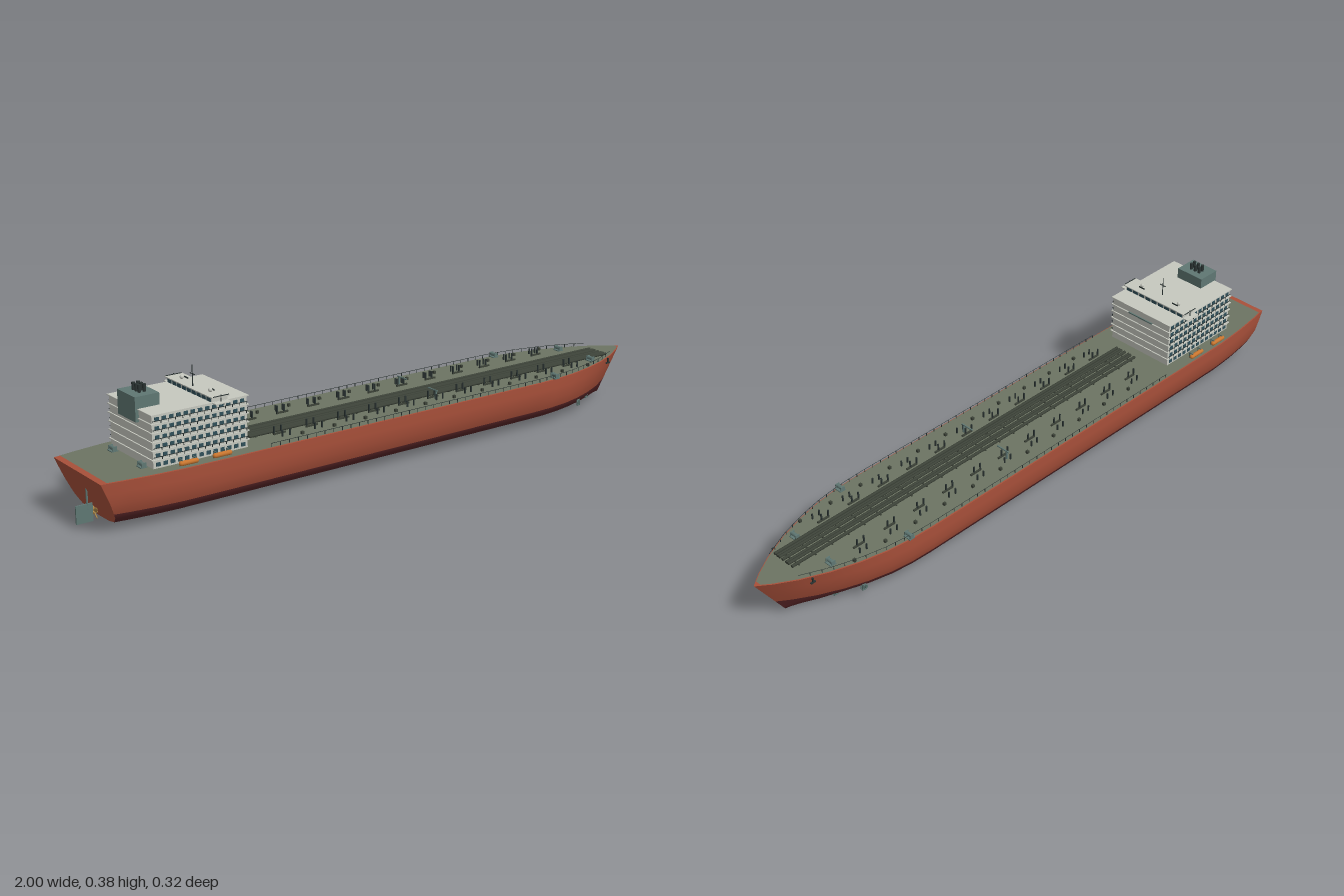
import * as THREE from 'three';
import { mergeGeometries } from 'three/addons/utils/BufferGeometryUtils.js';

const mat = (color, side = THREE.FrontSide) => new THREE.MeshStandardMaterial({ color, side });
const DECK = 0.15;

// Deck half-widths along the ship: [x, half width]
const STATIONS = [[-0.99, 0.132], [-0.93, 0.142], [-0.85, 0.152], [-0.75, 0.159], [-0.65, 0.16], [-0.2, 0.16],
  [0.2, 0.16], [0.5, 0.16], [0.58, 0.157], [0.66, 0.147], [0.74, 0.129], [0.82, 0.103], [0.9, 0.067],
  [0.96, 0.031], [1, 0.001]];
// Half section from deck edge to keel: [fraction of half width, y]
const SECTION = [[1, DECK], [0.998, 0.12], [0.985, 0.087], [0.91, 0.055], [0.86, 0.04], [0.675, 0.02],
  [0.38, 0.012], [0, 0.01]];

function halfWidth(x) {
  const i = Math.max(1, STATIONS.findIndex((s) => s[0] >= x));
  const [x0, w0] = STATIONS[i - 1], [x1, w1] = STATIONS[i];
  return w0 + (w1 - w0) * (x - x0) / (x1 - x0);
}

export function createModel() {
  const ship = new THREE.Group();
  ship.name = 'tankerShip';

  const M = {
    hull: mat(0xa8503a, THREE.DoubleSide), bottom: mat(0x5c2729, THREE.DoubleSide), deck: mat(0x6c7462),
    house: mat(0xc6c8bf), teal: mat(0x5f7773), glass: mat(0x2f4f59), pipe: mat(0x3c4238),
    dark: mat(0x2b3433), orange: mat(0xc9762f), bronze: mat(0xb08a4a),
  };
  const add = (name, geo, material, x = 0, y = 0, z = 0) => {
    const m = new THREE.Mesh(geo, material);
    m.name = name;
    m.position.set(x, y, z);
    ship.add(m);
    return m;
  };
  // Many boxes as one mesh; each entry is [w, h, d, x, y, z] with y at the box's base
  const boxes = (name, material, list) => add(name, mergeGeometries(list.map(([w, h, d, x, y, z]) =>
    new THREE.BoxGeometry(w, h, d).translate(x, y + h / 2, z))), material);
  const sides = [1, -1];

  // Hull: sections lofted along the stations, with raked bow and stern
  const ring = [...SECTION, ...SECTION.slice(0, -1).reverse().map(([w, y]) => [-w, y])];
  const R = ring.length, S = STATIONS.length, pos = [];
  for (const [x, hw] of STATIONS) {
    const bow = THREE.MathUtils.smoothstep(x, 0.45, 1) * 0.09;
    const stern = THREE.MathUtils.clamp((-0.75 - x) / 0.24, 0, 1) * 0.06;
    for (const [w, y] of ring) {
      const depth = (DECK - y) / (DECK - 0.01);
      pos.push(x + (stern - bow) * depth, y, w * hw);
    }
  }
  const upper = [], lower = [], lid = [], transom = [];
  for (let s = 0; s < S - 1; s++) {
    for (let i = 0; i < R - 1; i++) {
      const a = s * R + i, b = a + 1, c = a + R, d = c + 1;
      const target = ring[i][1] + ring[i + 1][1] < 0.105 ? lower : upper;
      target.push(a, b, c, b, d, c);
    }
    const a = s * R, b = a + R, c = a + R - 1, d = c + R;
    lid.push(a, b, c, b, d, c);
  }
  for (let i = 1; i < R - 1; i++) transom.push(0, i + 1, i);
  const loft = new THREE.BufferGeometry();
  loft.setAttribute('position', new THREE.Float32BufferAttribute(pos, 3));
  loft.setIndex([...upper, ...lower]);
  loft.computeVertexNormals();
  const piece = (index, flat) => {
    let g = loft.clone();
    g.setIndex(index);
    if (flat) { g = g.toNonIndexed(); g.computeVertexNormals(); }
    return g;
  };
  add('hullTopsides', piece(upper), M.hull);
  add('hullBottom', piece(lower), M.bottom);
  add('hullRim', piece(lid, true), M.hull);
  add('transom', piece(transom, true), M.hull);

  // Main deck, slightly inside the hull edge
  const edge = [-0.972, ...STATIONS.slice(1, -1).map((s) => s[0]), 0.985].map((x) => [x, halfWidth(x) - 0.003]);
  const outline = [...edge, ...edge.slice().reverse().map(([x, w]) => [x, -w])];
  const deckGeo = new THREE.ShapeGeometry(new THREE.Shape(outline.map(([x, z]) => new THREE.Vector2(x, z))));
  add('mainDeck', deckGeo.rotateX(-Math.PI / 2), M.deck, 0, DECK + 0.0015, 0);

  // Deck edge railing
  const posts = [];
  for (let x = -0.48; x < 0.9; x += 0.03) {
    for (const s of sides) posts.push([0.0015, 0.012, 0.0015, x, DECK, s * (halfWidth(x) - 0.006)]);
  }
  boxes('railPosts', M.dark, posts);
  for (const s of sides) {
    const path = new THREE.CurvePath();
    const pts = [-0.48, 0.5, 0.58, 0.66, 0.74, 0.82, 0.9].map((x) =>
      new THREE.Vector3(x, DECK + 0.012, s * (halfWidth(x) - 0.006)));
    for (let i = 1; i < pts.length; i++) path.add(new THREE.LineCurve3(pts[i - 1], pts[i]));
    add('handrail', new THREE.TubeGeometry(path, 60, 0.0008, 4), M.dark);
  }

  // Cargo pipes along the deck and their cross supports
  for (const z of [-0.016, 0, 0.008, 0.024, 0.038, 0.046, 0.057]) {
    add('cargoPipe', new THREE.CylinderGeometry(0.0045, 0.0045, 1.375, 8).rotateZ(Math.PI / 2), M.pipe,
      0.1975, DECK + 0.006, z);
  }
  const supports = [];
  for (let i = 0; i < 24; i++) supports.push([0.004, 0.004, 0.086, -0.47 + i * 0.058, DECK, 0.02]);
  boxes('pipeSupports', M.pipe, supports);

  // Groups of vent posts and valves between the tanks
  const vents = [], valves = [];
  for (let i = 0; i < 12; i++) {
    const x = -0.4 + i * 0.11;
    for (const s of sides) {
      if (halfWidth(x) < 0.12) continue;
      for (let k = 0; k < 4; k++) {
        vents.push([0.004, k % 2 ? 0.02 : 0.027, 0.004, x - 0.018 + k * 0.012, DECK, s * (k % 2 ? 0.1 : 0.075)]);
      }
      valves.push([0.04, 0.005, 0.005, x, DECK + 0.002, s * 0.075], [0.008, 0.01, 0.008, x + 0.05, DECK, s * 0.115]);
    }
  }
  boxes('ventPosts', M.dark, vents);
  boxes('deckValves', M.pipe, valves);

  // Accommodation block with a ledge and a row of windows on each level
  const HX = -0.678, HL = 0.294;
  boxes('accommodationBlock', M.house, [[HL, 0.15, 0.23, HX, DECK, 0]]);
  const ledges = [], windows = [], rails = [];
  for (let level = 0; level < 6; level++) {
    const y = DECK + level * 0.025;
    ledges.push([HL + 0.008, 0.003, 0.24, HX, y + 0.0235, 0]);
    for (const s of sides) {
      for (let k = 0; k < 13; k++) {
        const x = HX - 0.132 + k * 0.022;
        windows.push([0.013, 0.011, 0.002, x, y + 0.007, s * 0.1155]);
        if (level) rails.push([0.0015, 0.009, 0.0015, x + 0.011, y, s * 0.119]);
      }
      if (level) rails.push([HL, 0.0015, 0.0015, HX, y + 0.008, s * 0.119]);
    }
  }
  boxes('floorLedges', M.house, ledges);
  boxes('sideWindows', M.glass, windows);
  boxes('balconyRails', M.dark, rails);
  boxes('frontWindowStrip', M.teal, [[0.004, 0.004, 0.096, -0.528, 0.275, 0]]);

  // Bridge across the roof with wings
  const BX = -0.617;
  boxes('bridge', M.house, [[0.05, 0.014, 0.234, BX, 0.3, 0], [0.056, 0.003, 0.25, BX, 0.313, 0]]);
  boxes('bridgeWings', M.house, sides.map((s) => [0.05, 0.003, 0.022, BX, 0.298, s * 0.127]));
  const panes = [];
  for (let k = 0; k < 9; k++) {
    for (const s of sides) panes.push([0.002, 0.011, 0.019, BX + s * 0.0255, 0.3015, (k - 4) * 0.0258]);
  }
  boxes('bridgeWindows', M.glass, panes);
  boxes('wingRails', M.dark, sides.flatMap((s) => [[0.05, 0.002, 0.002, BX, 0.316, s * 0.124],
    [0.002, 0.02, 0.002, BX, 0.3, s * 0.124], [0.002, 0.002, 0.02, BX, 0.297, s * 0.13]]));

  // Mast, radar bars and domes
  add('mast', new THREE.CylinderGeometry(0.001, 0.0018, 0.062, 6), M.dark, -0.63, 0.346, 0);
  boxes('mastYards', M.dark, [[0.002, 0.002, 0.024, -0.63, 0.35, 0]]);
  for (const s of sides) {
    add('radarDome', new THREE.SphereGeometry(0.006, 12, 8), M.house, -0.62, 0.322, s * 0.075);
    boxes('radarBar', M.dark, [[0.003, 0.003, 0.022, -0.61, 0.319, s * 0.068]]);
  }

  // Funnel with exhaust pipes
  boxes('funnel', M.teal, [[0.074, 0.07, 0.096, -0.798, 0.265, 0]]);
  for (const z of [-0.016, 0, 0.016]) {
    for (const x of [-0.803, -0.788]) {
      add('exhaustPipe', new THREE.CylinderGeometry(0.005, 0.005, 0.022, 10), M.dark, x, 0.345, z);
    }
  }

  // Lifeboats on davits
  for (const s of sides) {
    for (const x of [-0.737, -0.633]) {
      add('lifeboat', new THREE.CapsuleGeometry(0.007, 0.046, 4, 10).rotateZ(Math.PI / 2), M.orange, x, 0.163, s * 0.149);
      boxes('lifeboatDavit', M.teal, [-0.02, 0.02].flatMap((d) => [
        [0.003, 0.022, 0.003, x + d, DECK, s * 0.138], [0.003, 0.003, 0.014, x + d, 0.17, s * 0.144]]));
    }
  }

  // Mooring winches: a drum between two cheeks on a base
  for (const [x, z] of [[-0.84, 0.08], [0.58, 0.145], [0.8, 0.075]]) {
    for (const s of sides) {
      add('winchDrum', new THREE.CylinderGeometry(0.006, 0.006, 0.022, 10).rotateX(Math.PI / 2), M.teal, x, 0.16, s * z);
      boxes('winchFrame', M.teal, [[0.02, 0.004, 0.026, x, DECK, s * z],
        ...sides.map((k) => [0.014, 0.016, 0.003, x, DECK, s * z + k * 0.011])]);
    }
  }

  // Hose-handling cranes amidships
  for (const s of sides) {
    boxes('deckCrane', M.teal, [[0.005, 0.028, 0.005, 0.15, DECK, s * 0.09], [0.004, 0.003, 0.045, 0.15, 0.176, s * 0.075]]);
  }

  // Anchors under the bow edge
  for (const s of sides) {
    const x = 0.87, z = s * (halfWidth(x) + 0.004);
    boxes('anchor', M.dark, [[0.004, 0.018, 0.005, x, 0.132, z], [0.016, 0.004, 0.005, x, 0.132, z]]);
  }

  // Bow thruster grilles low on the hull
  for (const [x, z, y] of [[0.72, 0.109, 0.035], [0.79, 0.072, 0.038]]) {
    for (const s of sides) {
      add('thrusterRing', new THREE.TorusGeometry(0.009, 0.002, 6, 16).rotateY(s * 0.4), M.teal, x, y, s * z);
      boxes('thrusterGrille', M.teal, [-1, 0, 1].map((k) => [0.002, 0.02, 0.004, x + k * 0.005, y - 0.01, s * z]));
    }
  }

  // Rudder, stock and propeller
  boxes('rudder', M.teal, [[0.05, 0.052, 0.005, -0.975, 0, 0]]);
  add('rudderStock', new THREE.CylinderGeometry(0.003, 0.003, 0.06, 8), M.teal, -0.965, 0.065, 0);
  add('propellerShaft', new THREE.CylinderGeometry(0.004, 0.004, 0.03, 10).rotateZ(Math.PI / 2), M.bronze, -0.935, 0.024, 0);
  for (let k = 0; k < 4; k++) {
    const blade = add('propellerBlade', new THREE.SphereGeometry(1, 10, 6).scale(0.002, 0.011, 0.006)
      .rotateY(0.6).translate(0, 0.011, 0), M.bronze, -0.945, 0.024, 0);
    blade.rotation.x = Math.PI / 4 + k * Math.PI / 2;
  }

  return ship;
}
